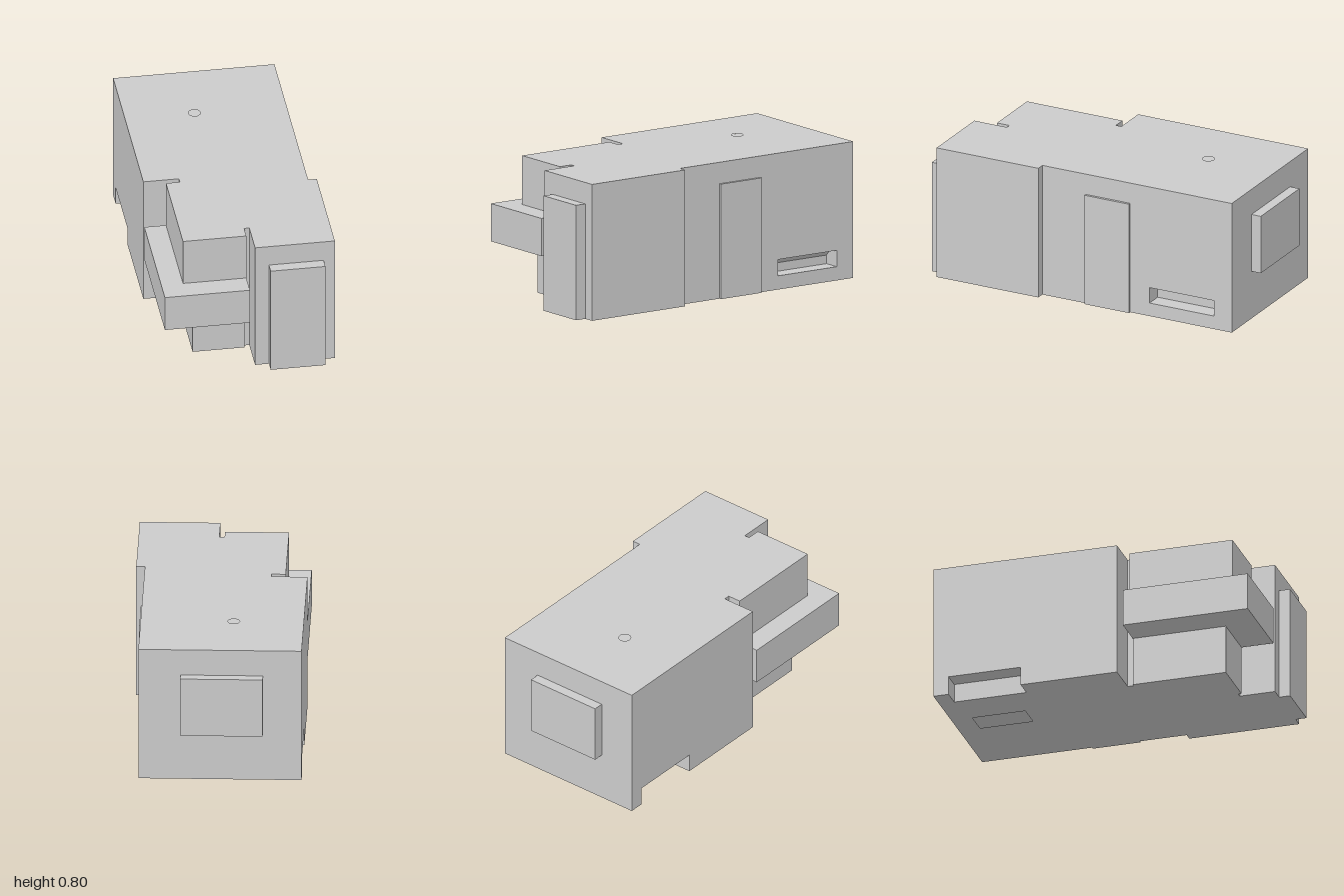
import * as THREE from 'three';

const material = new THREE.MeshStandardMaterial({ color: 0xcccccc, flatShading: true });

// Polygon in plan; points are [x, z]
function planPath(points, Type) {
  const path = new Type();
  points.forEach(([x, z], i) => (i ? path.lineTo(x, -z) : path.moveTo(x, -z)));
  path.closePath();
  return path;
}

export function createModel() {
  const model = new THREE.Group();

  const add = (name, geometry) => {
    const mesh = new THREE.Mesh(geometry, material);
    mesh.name = name;
    model.add(mesh);
  };

  // Box given by its minimum and maximum corners
  const box = (name, a, b) => {
    const g = new THREE.BoxGeometry(b[0] - a[0], b[1] - a[1], b[2] - a[2]);
    g.translate((a[0] + b[0]) / 2, (a[1] + b[1]) / 2, (a[2] + b[2]) / 2);
    add(name, g);
  };

  // Horizontal slab of the housing: the front corner block ends at (cornerX, cornerZ)
  const slab = (name, y0, y1, [cornerX, cornerZ], { notch, slot, hole } = {}) => {
    const outline = [
      [-0.49, -0.94], [0.44, -0.94],
      ...(slot ? [[0.44, -0.825], [0.34, -0.825], [0.34, -0.41], [0.44, -0.41]] : []),
      [0.44, 0.28], [0.49, 0.28], [0.49, 0.935], [0.03, 0.935],
      [0.03, 0.725], [0, 0.725],
      [0, cornerZ], [cornerX, cornerZ], [cornerX, 0.19],
      [-0.285, 0.19], [-0.285, 0.155], [-0.49, 0.155],
      ...(notch ? [[-0.49, -0.42], [-0.38, -0.42], [-0.38, -0.85], [-0.49, -0.85]] : []),
    ];
    const shape = planPath(outline, THREE.Shape);
    if (hole) shape.holes.push(planPath(hole, THREE.Path));
    const g = new THREE.ExtrudeGeometry(shape, { depth: y1 - y0, bevelEnabled: false });
    g.rotateX(-Math.PI / 2);
    g.translate(0, y0, 0);
    add(name, g);
  };

  const low = [-0.30, 0.745], middle = [-0.49, 0.935], high = [-0.365, 0.805];
  const baseHole = [[-0.145, -0.815], [0, -0.815], [0, -0.5], [-0.145, -0.5]];
  const topHole = Array.from({ length: 10 }, (_, i) => {
    const a = (i / 10) * Math.PI * 2;
    return [-0.09 + 0.035 * Math.cos(a), -0.51 + 0.035 * Math.sin(a)];
  });

  // Housing, from the ground up
  slab('housingBase', 0, 0.08, low, { notch: true, hole: baseHole });
  slab('housingSlotFloor', 0.08, 0.11, low, { notch: true, slot: true, hole: baseHole });
  slab('housingSlot', 0.11, 0.175, low, { slot: true });
  slab('housingLower', 0.175, 0.29, low);
  slab('housingMiddle', 0.29, 0.51, middle);
  slab('housingUpper', 0.51, 0.695, high);
  slab('housingTop', 0.695, 0.795, high, { hole: topHole });

  // Sloping deflector inside the side slot
  const wedge = new THREE.Shape([
    new THREE.Vector2(0.34, 0.13),
    new THREE.Vector2(0.38, 0.175),
    new THREE.Vector2(0.34, 0.175),
  ]);
  const deflector = new THREE.ExtrudeGeometry(wedge, { depth: 0.415, bevelEnabled: false });
  deflector.translate(0, 0, -0.825);
  add('slotDeflector', deflector);

  // Raised panels
  box('frontPanel', [0.11, 0, 0.935], [0.425, 0.67, 1]);
  box('backPanel', [-0.27, 0.29, -1], [0.20, 0.64, -0.94]);
  box('sideDoor', [0.44, 0, -0.285], [0.455, 0.67, 0]);

  return model;
}
